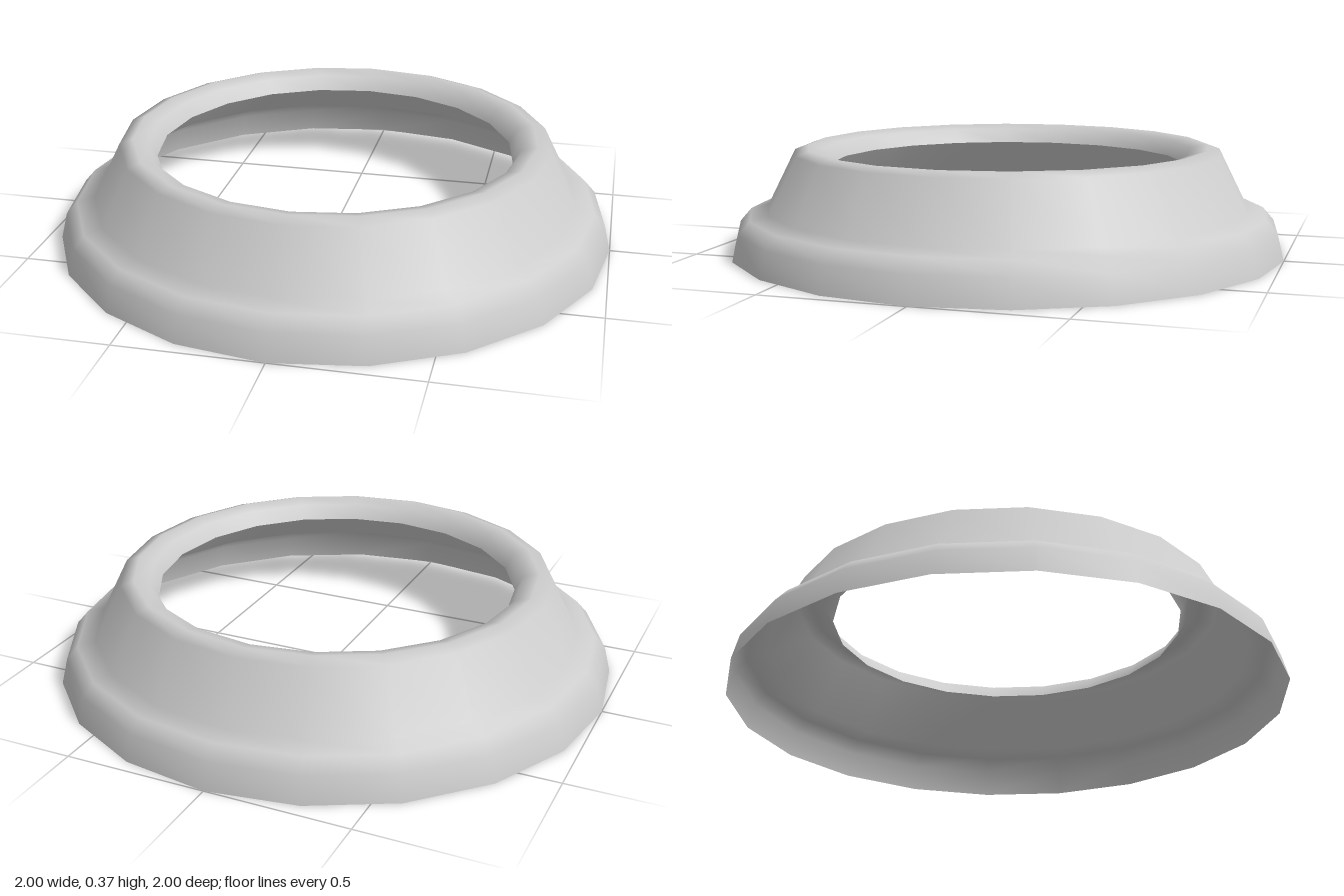
import * as THREE from 'three';

export function createModel() {
  const group = new THREE.Group();
  group.name = 'collarRing';

  const paleGrey = new THREE.MeshStandardMaterial({ color: 0xcccccc, side: THREE.DoubleSide });
  paleGrey.name = 'paleGrey';

  // Open shell profile: rounded skirt, narrow ledge, sloped wall, rim curling inward
  const profile = [
    [1.0, 0], [0.977, 0.092], [0.937, 0.138], [0.872, 0.155],
    [0.772, 0.355], [0.725, 0.372], [0.67, 0.357], [0.64, 0.305],
  ].map(([r, y]) => new THREE.Vector2(r, y));

  const shell = new THREE.Mesh(new THREE.LatheGeometry(profile, 20), paleGrey);
  shell.name = 'flaredCollar';
  group.add(shell);

  return group;
}
